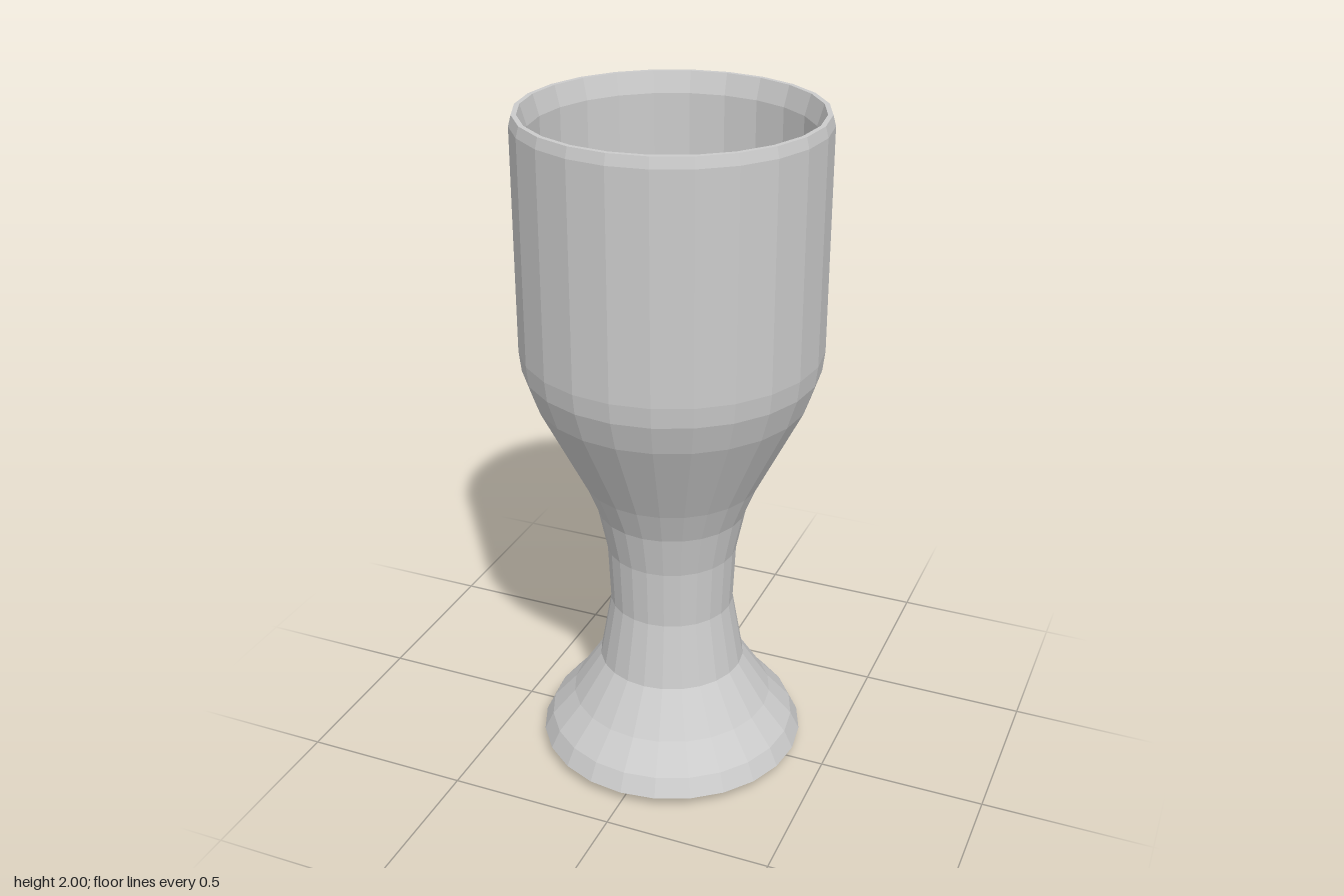
import * as THREE from 'three';

const SIDES = 24;

function lathe(name, profile) {
  const points = profile.map(([r, y]) => new THREE.Vector2(r, y));
  const geometry = new THREE.LatheGeometry(points, SIDES);
  const material = new THREE.MeshStandardMaterial({ color: 0xcccccc, flatShading: true });
  const mesh = new THREE.Mesh(geometry, material);
  mesh.name = name;
  return mesh;
}

// Pull every other vertex of one ring inward, for a star-shaped cap
function starRing(mesh, ring, ringCount, scale) {
  const pos = mesh.geometry.attributes.position;
  for (let i = 1; i < SIDES; i += 2) {
    const k = i * ringCount + ring;
    pos.setX(k, pos.getX(k) * scale);
    pos.setZ(k, pos.getZ(k) * scale);
  }
}

export function createModel() {
  const group = new THREE.Group();
  group.name = 'goblet';

  // Flared foot and waisted stem, with a slightly domed underside
  const base = [
    [0, 0], [0.3, 0.008], [0.36, 0.015], [0.402, 0.035], [0.375, 0.09],
    [0.305, 0.17], [0.22, 0.3], [0.185, 0.5], [0.193, 0.68], [0.22, 0.81],
  ];
  const foot = lathe('footAndStem', base);
  starRing(foot, 1, base.length, 0.88);
  group.add(foot);

  // Outside of the bowl and its bevelled rim
  group.add(lathe('bowl', [
    [0.22, 0.81], [0.26, 0.91], [0.305, 1], [0.35, 1.09], [0.395, 1.18],
    [0.425, 1.27], [0.432, 1.33], [0.432, 1.97], [0.424, 2], [0.41, 2],
  ]));

  // Inside of the bowl, from the rim down to the rounded floor
  const lining = [
    [0.41, 2], [0.392, 1.94], [0.392, 1.34], [0.386, 1.27], [0.365, 1.19],
    [0.33, 1.11], [0.285, 1.03], [0.235, 0.99], [0, 0.96],
  ];
  const inside = lathe('bowlInside', lining);
  starRing(inside, 7, lining.length, 0.88);
  group.add(inside);

  return group;
}
